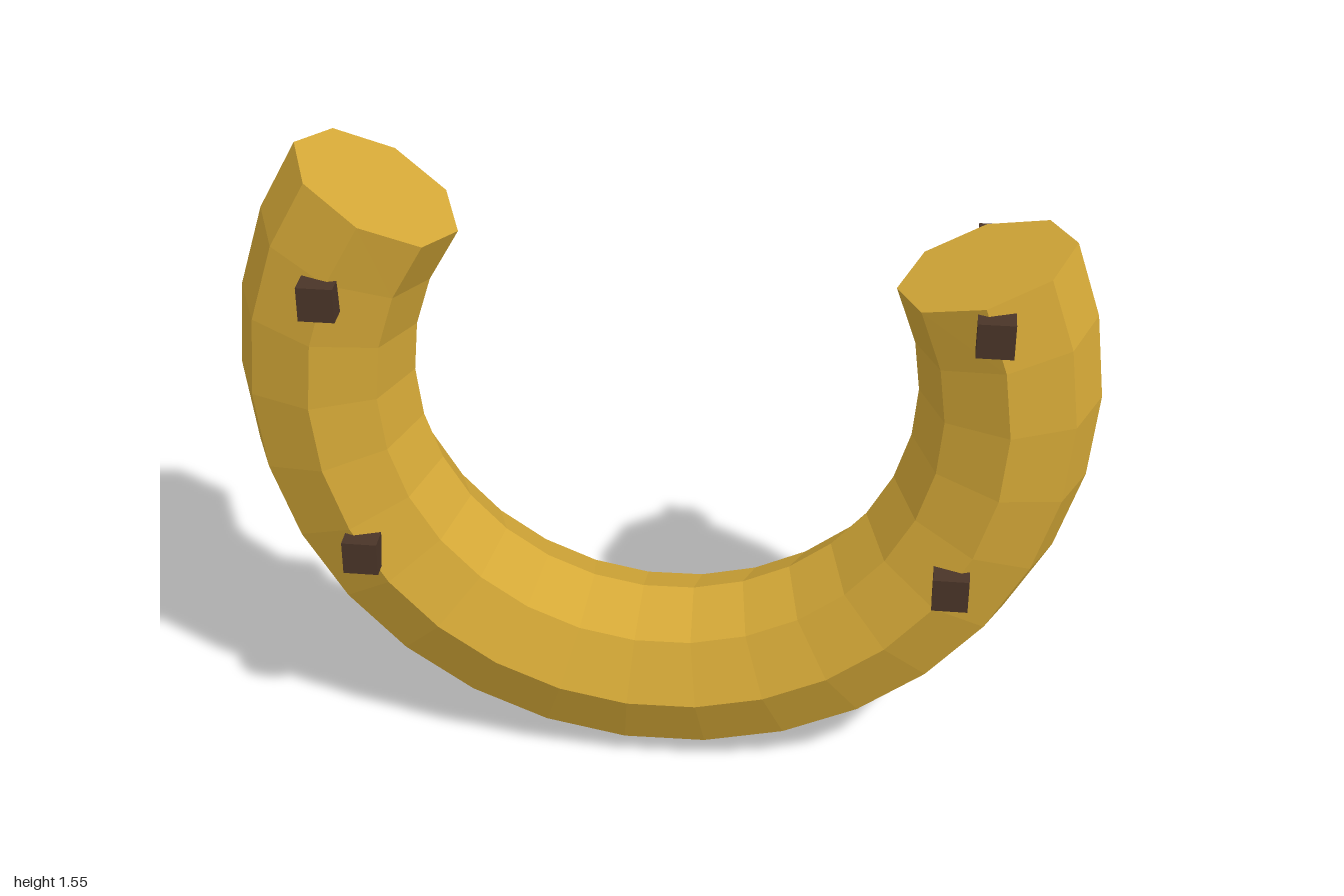
import * as THREE from 'three';

const RING = 0.793, TUBE = 0.207, CENTRE_Y = 0.996;
const SEGMENTS = 20, SIDES = 8;
const START = -215, STEP = 12; // degrees

// Octagonal tube swept around an open arc, with flat caps
function arcGeometry() {
  const positions = [], index = [];
  for (let i = 0; i <= SEGMENTS; i++) {
    const a = THREE.MathUtils.degToRad(START + i * STEP);
    // End sections stand square to the last straight segment
    const tilt = i === 0 ? STEP / 2 : i === SEGMENTS ? -STEP / 2 : 0;
    const n = a + THREE.MathUtils.degToRad(tilt);
    for (let j = 0; j < SIDES; j++) {
      const v = (j / SIDES) * Math.PI * 2;
      const out = TUBE * Math.cos(v);
      positions.push(
        RING * Math.cos(a) + out * Math.cos(n),
        CENTRE_Y + RING * Math.sin(a) + out * Math.sin(n),
        TUBE * Math.sin(v)
      );
    }
  }
  const at = (i, j) => i * SIDES + (j % SIDES);
  for (let i = 0; i < SEGMENTS; i++) {
    for (let j = 0; j < SIDES; j++) {
      const a = at(i, j), b = at(i + 1, j), c = at(i + 1, j + 1), d = at(i, j + 1);
      index.push(a, b, c, a, c, d);
    }
  }
  for (let j = 1; j < SIDES - 1; j++) {
    index.push(at(0, 0), at(0, j), at(0, j + 1));
    index.push(at(SEGMENTS, 0), at(SEGMENTS, j + 1), at(SEGMENTS, j));
  }
  const geometry = new THREE.BufferGeometry();
  geometry.setAttribute('position', new THREE.Float32BufferAttribute(positions, 3));
  geometry.setIndex(index);
  const flat = geometry.toNonIndexed();
  flat.computeVertexNormals();
  return flat;
}

export function createModel() {
  const model = new THREE.Group();
  model.name = 'horseshoe';
  const gold = new THREE.MeshStandardMaterial({ color: 0xd4a837, flatShading: true });
  const brown = new THREE.MeshStandardMaterial({ color: 0x4a3528, flatShading: true });

  const arc = new THREE.Mesh(arcGeometry(), gold);
  arc.name = 'arc';
  model.add(arc);

  // Square nails on both faces
  const nails = new THREE.Group();
  nails.name = 'nails';
  const nailGeometry = new THREE.BoxGeometry(0.083, 0.083, 0.083);
  for (const [x, y] of [[-0.747, 1.273], [0.743, 1.273], [-0.69, 0.604], [0.685, 0.604]]) {
    for (const side of [1, -1]) {
      const nail = new THREE.Mesh(nailGeometry, brown);
      nail.name = side > 0 ? 'frontNail' : 'backNail';
      nail.position.set(x, y, side * 0.202);
      nails.add(nail);
    }
  }
  model.add(nails);
  return model;
}
